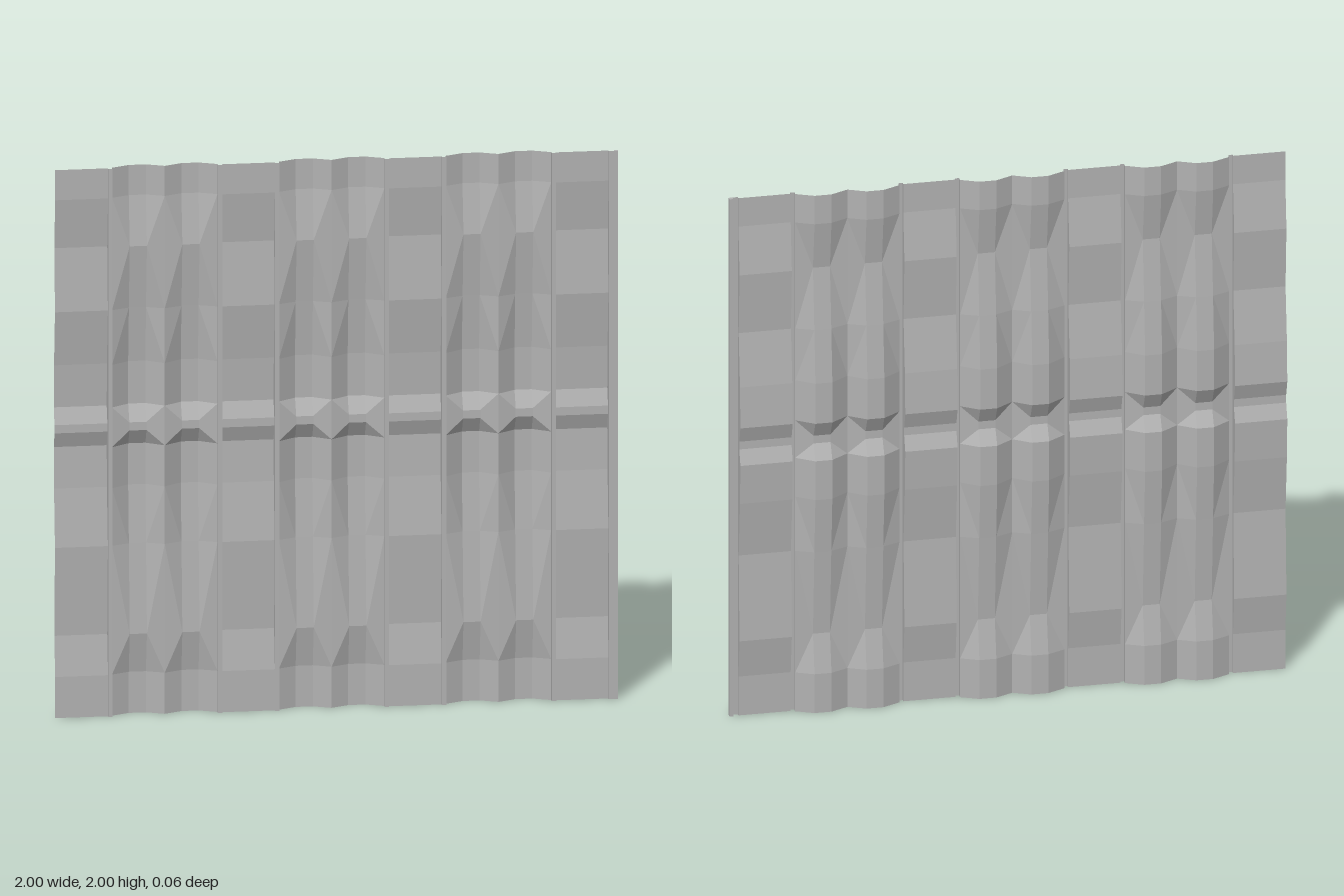
import * as THREE from 'three';

const FRONT = 0.03;   // plane of the seam strips
const EDGE = 0.014;   // depth at the rims of each trough
const PERIOD = 0.593;

// heights shared by all strips, with the depth of trough floor and flat panel
const ROWS = [
  // y, trough floor z, panel z
  [0, -0.015, 0.02],
  [0.15, -0.015, 0.02],
  [0.295, 0.012, 0.0],
  [0.62, -0.012, 0.016],
  [0.83, -0.03, -0.008],
  [0.98, -0.03, -0.015],
  [1.035, 0.002, 0.005],
  [1.065, 0.002, 0.005],
  [1.125, -0.03, -0.015],
  [1.28, -0.03, -0.008],
  [1.48, -0.012, 0.016],
  [1.71, 0.012, 0.0],
  [1.89, -0.015, 0.02],
  [2, -0.015, 0.02],
];

// faceted sheet from rows of points; each quad folds along its flatter diagonal
function sheet(rows) {
  const pos = [];
  const tri = (...pts) => pts.forEach((p) => pos.push(...p));
  for (let i = 0; i < rows.length - 1; i++) {
    for (let j = 0; j < rows[i].length - 1; j++) {
      const a = rows[i][j], b = rows[i][j + 1];
      const c = rows[i + 1][j + 1], d = rows[i + 1][j];
      if (Math.abs(a[2] - c[2]) <= Math.abs(b[2] - d[2])) {
        tri(a, b, c);
        tri(a, c, d);
      } else {
        tri(a, b, d);
        tri(b, c, d);
      }
    }
  }
  const geo = new THREE.BufferGeometry();
  geo.setAttribute('position', new THREE.Float32BufferAttribute(pos, 3));
  geo.computeVertexNormals();
  return geo;
}

// double trough: rim, floor, middle crest, floor, rim
function troughGeometry() {
  const half = 0.1875;
  return sheet(ROWS.map(([y, f]) => [
    [-half, y, FRONT], [-half, y, EDGE],
    [-0.124, y, f], [-0.063, y, f],
    [0, y, EDGE],
    [0.063, y, f], [0.124, y, f],
    [half, y, EDGE], [half, y, FRONT],
  ]));
}

// flat strip waving in depth, with return walls to the seams
function panelGeometry(leftWall) {
  const half = 0.094;
  return sheet(ROWS.map(([y, , p]) => {
    const row = [[-half, y, p], [half, y, p], [half, y, FRONT]];
    return leftWall ? [[-half, y, FRONT], ...row] : row;
  }));
}

export function createModel() {
  const group = new THREE.Group();
  const steel = new THREE.MeshStandardMaterial({ color: 0xb2b2b2, side: THREE.DoubleSide, flatShading: true });
  steel.name = 'greySteel';

  const add = (name, geo, x, y = 0, z = 0) => {
    const mesh = new THREE.Mesh(geo, steel);
    mesh.name = name;
    mesh.position.set(x, y, z);
    group.add(mesh);
  };
  const seam = (x0, x1) =>
    add('seamStrip', new THREE.PlaneGeometry(x1 - x0, 2), (x0 + x1) / 2, 1, FRONT);

  // wavy panels
  for (let i = 0; i < 4; i++) add('panel', panelGeometry(i > 0), -0.906 + i * PERIOD * 1.0);

  // pressed double troughs with a seam strip on each side
  for (let i = 0; i < 3; i++) {
    const x = -0.6095 + i * PERIOD;
    add('doubleTrough', troughGeometry(), x);
    seam(x - 0.2025, x - 0.1875);
    seam(x + 0.1875, x + 0.2025);
  }

  // end flange
  seam(0.967, 0.986);
  add('endFlange', new THREE.BoxGeometry(0.014, 2, 0.014), 0.993, 1, FRONT - 0.007);

  return group;
}
